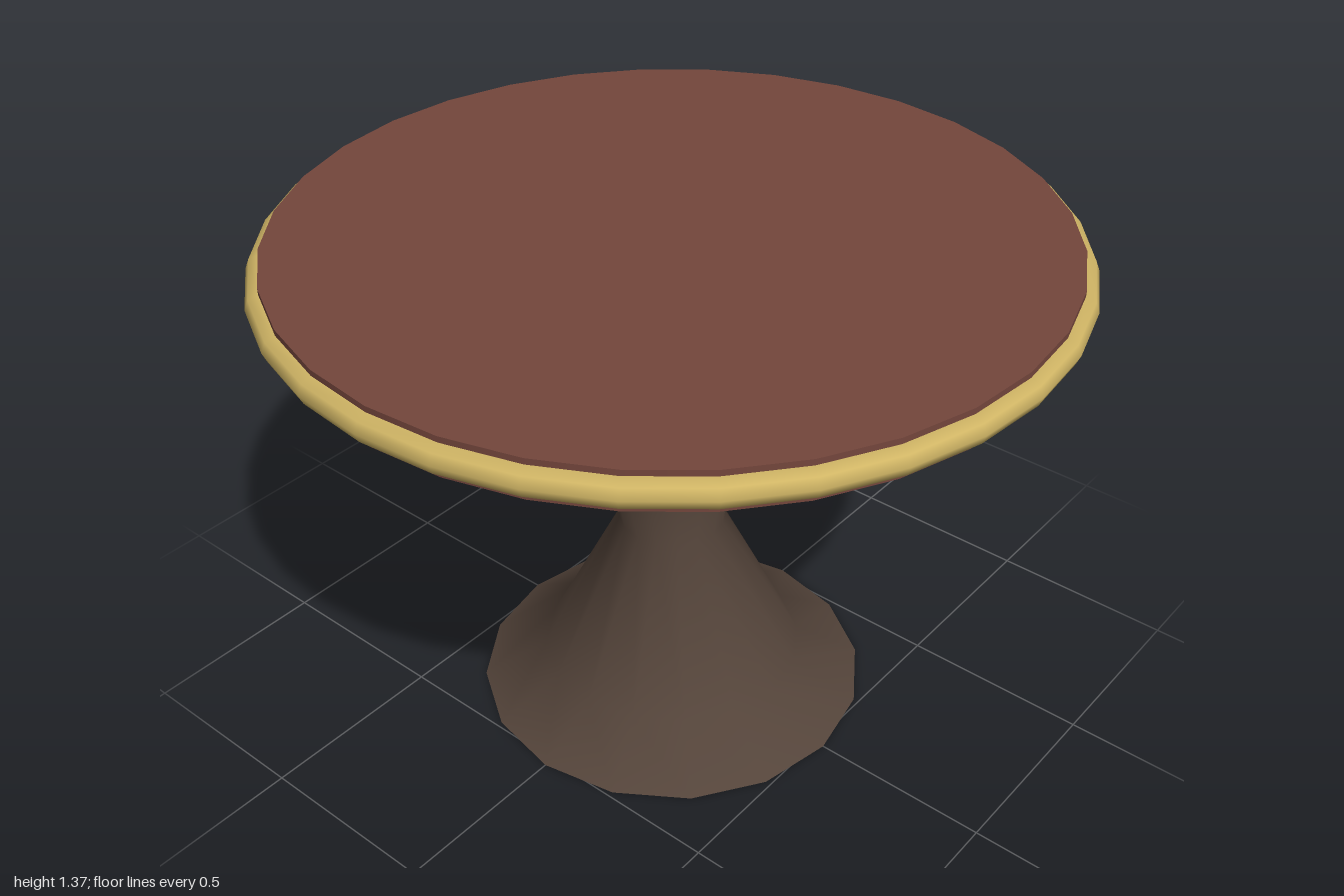
import * as THREE from 'three';

function part(name, geometry, color, y = 0) {
  const mesh = new THREE.Mesh(geometry, new THREE.MeshStandardMaterial({ color }));
  mesh.name = name;
  mesh.position.y = y;
  return mesh;
}

export function createModel() {
  const table = new THREE.Group();
  table.name = 'roundTable';
  const wood = 0x74463c, gold = 0xd0b565, dark = 0x54443a;

  // Round top
  table.add(part('tableTop', new THREE.CylinderGeometry(0.965, 0.965, 0.1, 32), wood, 1.32));

  // Rounded band around the edge
  const band = new THREE.TorusGeometry(0.965, 0.035, 8, 32).rotateX(-Math.PI / 2);
  table.add(part('edgeBand', band, gold, 1.32));

  // Turned pedestal, flared at foot and head
  const profile = [[0.525, 0], [0.35, 0.105], [0.14, 0.53], [0.21, 1.06], [0.35, 1.27]]
    .map(([r, y]) => new THREE.Vector2(r, y));
  table.add(part('pedestal', new THREE.LatheGeometry(profile, 16), dark));

  // Flat underside of the foot
  table.add(part('footUnderside', new THREE.CircleGeometry(0.525, 16).rotateX(Math.PI / 2), dark));

  return table;
}
